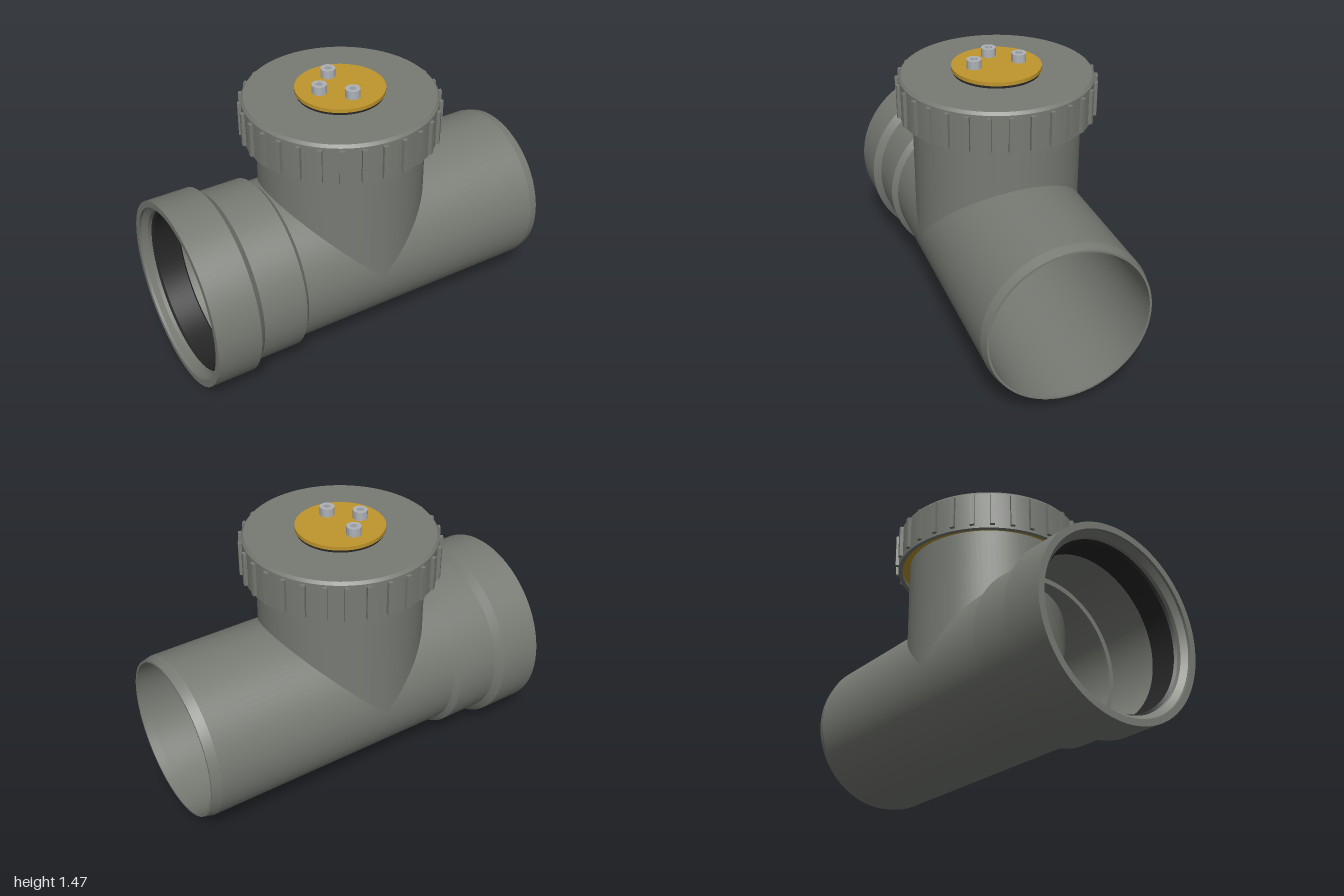
import * as THREE from 'three';
import { toCreasedNormals } from 'three/addons/utils/BufferGeometryUtils.js';
import { ParametricGeometry } from 'three/addons/geometries/ParametricGeometry.js';

const SEG = 96;
const CX = -0.02;   // x of the vertical branch
const CY = 0.5;     // height of the main pipe axis
const OUT = 0.434;  // pipe outer radius
const BORE = 0.41;  // pipe inner radius

function material(name, color, side = THREE.FrontSide) {
  const m = new THREE.MeshStandardMaterial({ color, side });
  m.name = name;
  return m;
}

export function createModel() {
  const model = new THREE.Group();
  model.name = 'pipeBackflowValve';
  const grey = material('greyPlastic', 0x787b74, THREE.DoubleSide);
  const brass = material('brassYellow', 0xc0962c);
  const red = material('redFlap', 0x932f32);
  const steel = material('steel', 0xaeb2b7);
  const black = material('blackRubber', 0x262626);

  function add(name, geometry, mat, x = 0, y = 0, z = 0, parent = model) {
    const mesh = new THREE.Mesh(geometry, mat);
    mesh.name = name;
    mesh.position.set(x, y, z);
    parent.add(mesh);
    return mesh;
  }
  // Turned part from [radius, height] pairs, with sharp profile corners
  const turned = (pts) => toCreasedNormals(
    new THREE.LatheGeometry(pts.map(([r, h]) => new THREE.Vector2(r, h)), SEG), 0.2);
  const turnedX = (pts) => turned(pts).rotateZ(-Math.PI / 2);

  // Socket end and chamfered spigot end of the main pipe
  add('socket', turnedX([
    [BORE, -0.465], [BORE, -0.5], [0.438, -0.5], [0.438, -0.96], [0.465, -0.985], [0.465, -1],
    [0.5, -1], [0.5, -0.765], [0.463, -0.73], [0.463, -0.49], [OUT, -0.465],
  ]), grey, 0, CY);
  add('spigotEnd', turnedX([
    [OUT, 0.95], [0.421, 1], [BORE, 1], [BORE, 0.95],
  ]), grey, 0, CY);
  add('socketSeal', turnedX([
    [0.437, -0.78], [0.424, -0.79], [0.424, -0.93], [0.437, -0.94],
  ]), black, 0, CY);

  // Pipe walls meeting in a mitred tee: outer wall, then bore
  for (const [label, r] of [['Outer', OUT], ['Inner', BORE]]) {
    const s = r === OUT ? 1 : -1; // turns the bore inwards
    for (const [side, end] of [[-1, -0.465], [1, 0.95]]) {
      add(`mainPipe${label}`, new ParametricGeometry((u, v, p) => {
        const a = s * side * u * Math.PI * 2;
        const cut = CX + side * r * Math.max(0, Math.cos(a));
        p.set(cut + (end - cut) * v, CY + r * Math.cos(a), r * Math.sin(a));
      }, SEG, 1), grey);
    }
    add(`branch${label}`, new ParametricGeometry((u, v, p) => {
      const a = -s * u * Math.PI * 2;
      const cut = CY + r * Math.abs(Math.cos(a));
      p.set(CX + r * Math.cos(a), cut + (1.32 - cut) * v, r * Math.sin(a));
    }, SEG, 1), grey);
  }

  // Screw cap with grip ribs and a seal inside its rim
  const cap = new THREE.Group();
  cap.name = 'screwCap';
  cap.position.x = CX;
  model.add(cap);
  add('capShell', turned([
    [0, 1.32], [0.475, 1.32], [0.475, 1.17], [0.497, 1.17], [0.497, 1.375], [0.485, 1.39], [0, 1.39],
  ]), grey, 0, 0, 0, cap);
  add('capSeal', turned([
    [0.435, 1.19], [0.474, 1.19], [0.474, 1.23], [0.435, 1.23], [0.435, 1.19],
  ]), brass, 0, 0, 0, cap);
  const ribShape = new THREE.BoxGeometry(0.03, 0.18, 0.024);
  for (let i = 0; i < 30; i++) {
    const a = (i / 30) * Math.PI * 2;
    const rib = add('gripRib', ribShape, grey, 0.5 * Math.cos(a), 1.275, 0.5 * Math.sin(a), cap);
    rib.rotation.y = -a;
  }

  // Cover plate on its gasket
  add('plateGasket', new THREE.CylinderGeometry(0.222, 0.222, 0.016, SEG), black, 0, 1.397, 0, cap);
  add('coverPlate', new THREE.CylinderGeometry(0.229, 0.229, 0.02, SEG), brass, 0, 1.415, 0, cap);

  // Three hex socket bolts
  const head = new THREE.Shape().absarc(0, 0, 0.038, 0, Math.PI * 2);
  const hex = [];
  for (let i = 0; i < 6; i++) {
    const a = -i * Math.PI / 3;
    hex.push(new THREE.Vector2(0.02 * Math.cos(a), 0.02 * Math.sin(a)));
  }
  head.holes.push(new THREE.Path(hex));
  const boltHead = new THREE.ExtrudeGeometry(head, { depth: 0.045, bevelEnabled: false, curveSegments: 16 });
  boltHead.rotateX(-Math.PI / 2);
  const boltFloor = new THREE.CylinderGeometry(0.03, 0.03, 0.02, 16);
  for (const [x, z] of [[0, 0.12], [-0.12, 0], [0, -0.12]]) {
    add('boltHead', toCreasedNormals(boltHead, 0.5), steel, x, 1.425, z, cap);
    add('boltSocketFloor', boltFloor, steel, x, 1.43, z, cap);
  }

  // Hanging flap: a disc cut flat at the top, with a neck up into the cap
  const a0 = Math.asin(0.27 / 0.35);
  const flap = new THREE.Shape();
  flap.moveTo(0.17, 1.32);
  flap.lineTo(-0.17, 1.32);
  flap.lineTo(-0.17, 0.82);
  flap.absarc(0, 0.55, 0.35, Math.PI - a0, Math.PI * 2 + a0, false);
  flap.lineTo(0.17, 0.82);
  const plate = (shape, depth) => toCreasedNormals(new THREE.ExtrudeGeometry(
    shape, { depth, bevelEnabled: false, curveSegments: 64 }).rotateY(Math.PI / 2), 0.5);
  add('flap', plate(flap, 0.03), red, -0.1);

  // Raised bracket on the flap face
  const bracket = new THREE.Shape([
    [-0.17, 1.3], [-0.17, 0.745], [-0.225, 0.71], [-0.33, 0.48],
    [0.33, 0.48], [0.225, 0.71], [0.17, 0.745], [0.17, 1.3],
  ].map(([x, y]) => new THREE.Vector2(x, y)));
  add('flapBracket', plate(bracket, 0.015), red, -0.07);

  // Hinge pin through the neck
  const pin = new THREE.CylinderGeometry(0.012, 0.012, 0.41, 16).rotateX(Math.PI / 2);
  add('hingePin', pin, black, -0.085, 0.855);

  return model;
}
